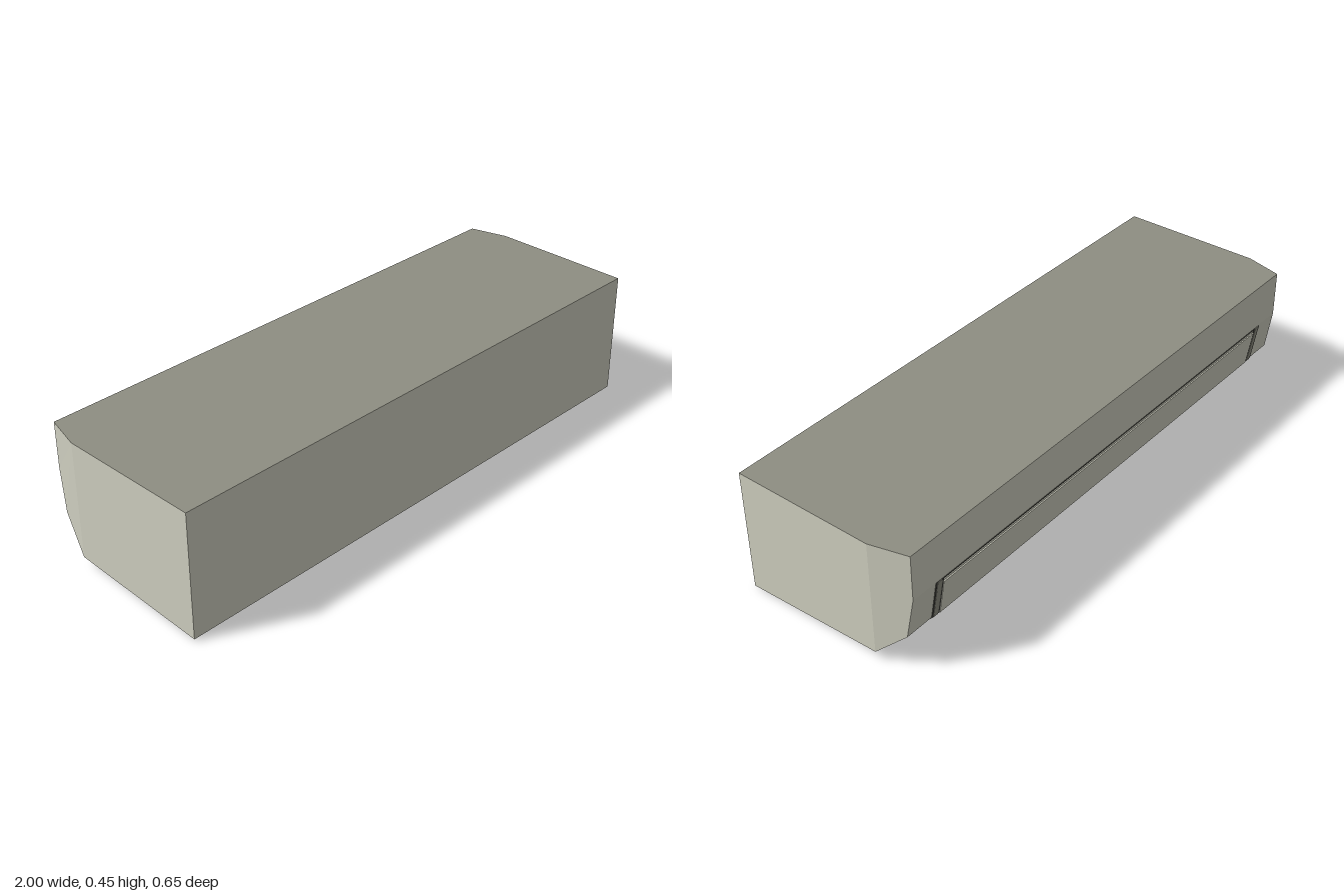
import * as THREE from 'three';

const bodyMat = new THREE.MeshStandardMaterial({ name: 'warmGrey', color: 0xcfcfc0 });
const topMat = new THREE.MeshStandardMaterial({ name: 'midGrey', color: 0x8e8e82 });
const gapMat = new THREE.MeshStandardMaterial({ name: 'darkGap', color: 0x4a4a44 });

// Casing side outline: [z, y, half width]
const outline = [
  [0.322, 0.448, 1], [0.322, 0.006, 1], [0.312, 0, 0.994], [-0.187, 0.028, 0.994],
  [-0.19, 0.034, 1], [-0.297, 0.135, 0.972], [-0.322, 0.285, 0.965], [-0.322, 0.448, 0.965],
  [-0.19, 0.448, 1],
];
const corner = (i, side) => [side * outline[i][2], outline[i][1], outline[i][0]];

// Flat-shaded mesh from convex polygons
function polyMesh(name, polygons, material) {
  const pos = [];
  for (const p of polygons) {
    for (let i = 1; i < p.length - 1; i++) pos.push(...p[0], ...p[i], ...p[i + 1]);
  }
  const geo = new THREE.BufferGeometry();
  geo.setAttribute('position', new THREE.Float32BufferAttribute(pos, 3));
  geo.computeVertexNormals();
  const mesh = new THREE.Mesh(geo, material);
  mesh.name = name;
  return mesh;
}

// Thin plate bent over the two sloping rear faces; path points are [z, y], top to bottom
function bentPlate(name, path, x0, x1, thick, material) {
  const normals = path.slice(1).map(([z, y], i) => {
    const dz = z - path[i][0], dy = y - path[i][1], l = Math.hypot(dz, dy);
    return [dy / l, -dz / l];
  });
  const outer = path.map(([z, y], i) => {
    const a = normals[Math.max(i - 1, 0)], b = normals[Math.min(i, normals.length - 1)];
    const k = thick / (1 + a[0] * b[0] + a[1] * b[1]);
    return [z + (a[0] + b[0]) * k, y + (a[1] + b[1]) * k];
  });
  const loop = [...path, ...outer.reverse()];
  const shape = new THREE.Shape(loop.map(([z, y]) => new THREE.Vector2(-z, y)));
  const geo = new THREE.ExtrudeGeometry(shape, { depth: x1 - x0, bevelEnabled: false });
  geo.rotateY(Math.PI / 2).translate(x0, 0, 0);
  const mesh = new THREE.Mesh(geo, material);
  mesh.name = name;
  return mesh;
}

export function createModel() {
  const model = new THREE.Group();
  model.name = 'wallUnit';

  // Casing: skin around the outline plus both ends with chamfered corners
  const faces = [];
  for (let i = 0; i < 7; i++) {
    faces.push([corner(i, 1), corner(i, -1), corner(i + 1, -1), corner(i + 1, 1)]);
  }
  for (const end of [[0, 1, 4, 8], [1, 2, 3, 4], [4, 5, 6, 7, 8]]) {
    faces.push(end.map((i) => corner(i, 1)));
    faces.push(end.map((i) => corner(i, -1)).reverse());
  }
  model.add(polyMesh('casing', faces, bodyMat));

  // Top panel
  const top = [0, 8, 7].map((i) => corner(i, 1)).concat([7, 8, 0].map((i) => corner(i, -1)));
  model.add(polyMesh('topPanel', [top], topMat));

  // Air outlet: flap, side frames and narrow gaps
  const outlet = new THREE.Group();
  outlet.name = 'airOutlet';
  const mid = [-0.297, 0.135];
  outlet.add(bentPlate('flap', [[-0.3188, 0.266], mid, [-0.2, 0.0425]], -0.835, 0.835, 0.004, bodyMat));
  const framePath = [[-0.3215, 0.282], mid, [-0.197, 0.0397]];
  for (const [side, s] of [['left', 1], ['right', -1]]) {
    const xs = [s * 0.842, s * 0.862].sort((a, b) => a - b);
    outlet.add(bentPlate(side + 'Frame', framePath, xs[0], xs[1], 0.003, topMat));
    for (const x of [0.838, 0.865]) {
      outlet.add(bentPlate(side + 'Gap', framePath, s * x - 0.003, s * x + 0.003, 0.002, gapMat));
    }
  }
  outlet.add(bentPlate('topGap', [[-0.3215, 0.282], [-0.321, 0.279]], -0.865, 0.865, 0.002, gapMat));
  outlet.add(bentPlate('bottomGap', [[-0.2, 0.0425], [-0.197, 0.0397]], -0.865, 0.865, 0.002, gapMat));
  model.add(outlet);

  // Small sensor plate under the casing
  const sensor = new THREE.Mesh(new THREE.BoxGeometry(0.035, 0.004, 0.03), gapMat);
  sensor.name = 'sensor';
  sensor.position.set(0.01, 0.0215, -0.08);
  sensor.rotation.x = Math.atan2(0.028, 0.499);
  model.add(sensor);

  return model;
}
